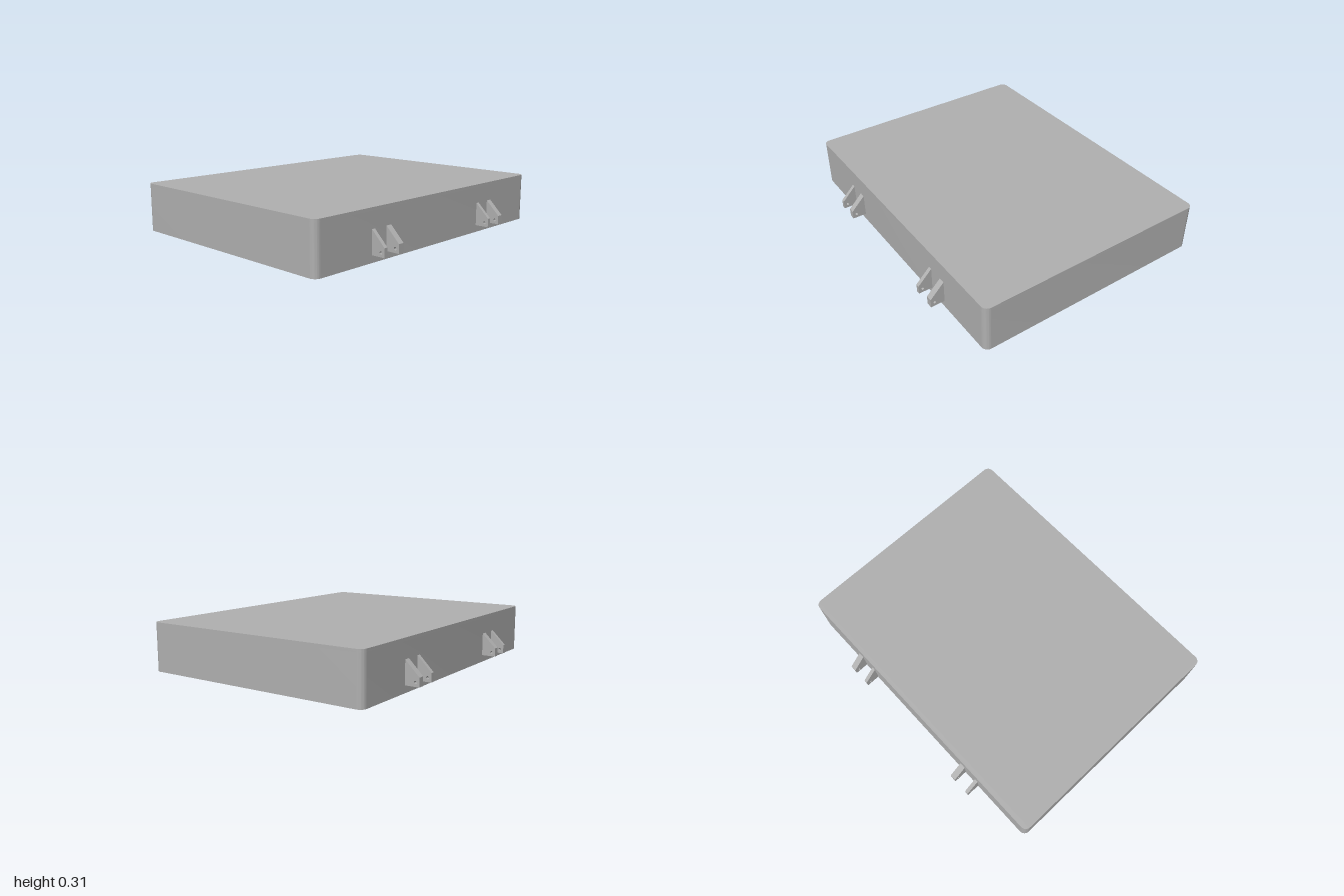
import * as THREE from 'three';
import { toCreasedNormals } from 'three/addons/utils/BufferGeometryUtils.js';

const HALF_X = 1, HALF_Z = 0.775, HEIGHT = 0.31;
const WALL = 0.011, TOP = 0.018, RADIUS = 0.04;

// Draws a rounded rectangle centred on the origin
function roundedRect(path, hx, hy, r) {
  path.moveTo(hx, -hy + r);
  path.absarc(hx - r, hy - r, r, 0, Math.PI / 2);
  path.absarc(-hx + r, hy - r, r, Math.PI / 2, Math.PI);
  path.absarc(-hx + r, -hy + r, r, Math.PI, Math.PI * 1.5);
  path.absarc(hx - r, -hy + r, r, Math.PI * 1.5, Math.PI * 2);
  path.closePath();
  return path;
}

// Extrudes a plan shape upward from height y
function slab(shape, y, depth) {
  const geo = new THREE.ExtrudeGeometry(shape, { depth, bevelEnabled: false, curveSegments: 10 });
  geo.rotateX(-Math.PI / 2).translate(0, y, 0);
  return toCreasedNormals(geo, 0.6);
}

// Gusset-shaped lug with a pin hole, projecting along +z from the wall
function lugGeometry(width) {
  const inner = HALF_Z - 0.004, outer = 0.865;
  const shape = new THREE.Shape([
    [inner, 0.045], [outer, 0.045], [outer, 0.1], [HALF_Z, 0.19], [inner, 0.19],
  ].map(([z, y]) => new THREE.Vector2(z, y)));
  shape.holes.push(new THREE.Path().absarc(0.84, 0.07, 0.009, 0, Math.PI * 2, true));
  const geo = new THREE.ExtrudeGeometry(shape, { depth: width, bevelEnabled: false, curveSegments: 12 });
  geo.translate(0, 0, -width / 2).rotateY(-Math.PI / 2);
  return toCreasedNormals(geo, 0.6);
}

export function createModel() {
  const model = new THREE.Group();
  model.name = 'openTray';
  const grey = new THREE.MeshStandardMaterial({ color: 0xb0b0b0 });
  grey.name = 'plainGrey';

  const add = (name, geo) => {
    const mesh = new THREE.Mesh(geo, grey);
    mesh.name = name;
    model.add(mesh);
    return mesh;
  };

  // Thin side walls, open at the bottom
  const ring = roundedRect(new THREE.Shape(), HALF_X, HALF_Z, RADIUS);
  ring.holes.push(roundedRect(new THREE.Path(), HALF_X - WALL, HALF_Z - WALL, RADIUS - WALL));
  add('sideWalls', slab(ring, 0, HEIGHT - TOP));

  // Closed top panel
  const plate = roundedRect(new THREE.Shape(), HALF_X, HALF_Z, RADIUS);
  add('topPanel', slab(plate, HEIGHT - TOP, TOP));

  // Pairs of thin and thick lugs on the front and back
  const thin = lugGeometry(0.024), thick = lugGeometry(0.04);
  const lugs = [[-0.5625, thin], [-0.435, thick], [0.4375, thin], [0.565, thick]];
  for (const [side, turn] of [['front', 0], ['back', Math.PI]]) {
    for (const [x, geo] of lugs) {
      const lug = add(side + (geo === thin ? 'ThinLug' : 'ThickLug'), geo);
      lug.position.x = x;
      lug.rotation.y = turn;
    }
  }
  return model;
}
